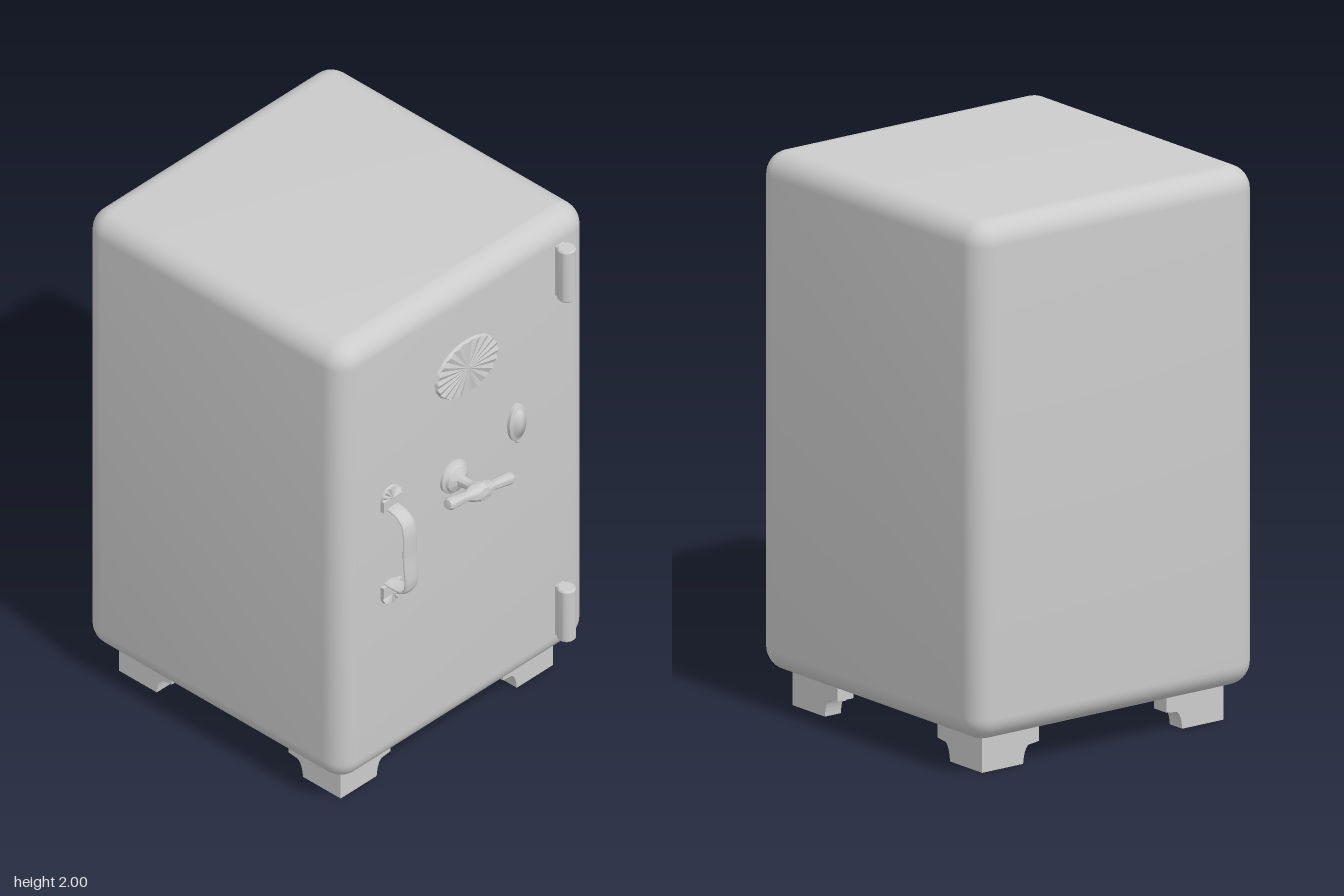
import * as THREE from 'three';
import { toCreasedNormals } from 'three/addons/utils/BufferGeometryUtils.js';

const grey = new THREE.MeshStandardMaterial({ color: 0xcccccc });
const FRONT = 0.54;            // plane of the door face
const W = 0.62, Y0 = 0.13, Y1 = 2, R = 0.085;

function add(parent, name, geometry, x = 0, y = 0, z = 0) {
  const mesh = new THREE.Mesh(geometry, grey);
  mesh.name = name;
  mesh.position.set(x, y, z);
  parent.add(mesh);
  return mesh;
}

function group(parent, name, x = 0, y = 0, z = 0) {
  const g = new THREE.Group();
  g.name = name;
  g.position.set(x, y, z);
  parent.add(g);
  return g;
}

// Rounded rectangle rings lofted along z; profile is a list of [inset, z]
function shell(profile) {
  const steps = 8, cy = (Y0 + Y1) / 2, pos = [], index = [];
  const n = 4 * (steps + 1);
  for (const [inset, z] of profile) {
    const r = Math.max(R - inset, 0.0005);
    for (let q = 0; q < 4; q++) {
      const sx = q === 0 || q === 3 ? 1 : -1, sy = q < 2 ? 1 : -1;
      for (let i = 0; i <= steps; i++) {
        const a = (q + i / steps) * Math.PI / 2;
        pos.push(sx * (W - R) + r * Math.cos(a), cy + sy * ((Y1 - Y0) / 2 - R) + r * Math.sin(a), z);
      }
    }
  }
  const last = profile.length - 1;
  for (let j = 0; j < last; j++) for (let i = 0; i < n; i++) {
    const k = (i + 1) % n, a = j * n, b = a + n;
    index.push(a + i, a + k, b + k, a + i, b + k, b + i);
  }
  // flat end caps
  const c = pos.length / 3;
  pos.push(0, cy, profile[0][1], 0, cy, profile[last][1]);
  for (let i = 0; i < n; i++) {
    const k = (i + 1) % n;
    index.push(c, k, i, c + 1, last * n + i, last * n + k);
  }
  const g = new THREE.BufferGeometry();
  g.setAttribute('position', new THREE.Float32BufferAttribute(pos, 3));
  g.setIndex(index);
  return toCreasedNormals(g, 0.6);
}

// Quarter-round edge running from the face at z0 to the side wall
function edge(z0, dir) {
  return Array.from({ length: 9 }, (_, i) => {
    const a = i / 8 * Math.PI / 2;
    return [R * (1 - Math.sin(a)), z0 + dir * R * (1 - Math.cos(a))];
  });
}

// Lathe turned so its axis points out of the door (+z)
function turned(points, segments = 32) {
  const g = new THREE.LatheGeometry(points.map(p => new THREE.Vector2(...p)), segments);
  return toCreasedNormals(g.rotateX(Math.PI / 2), 0.6);
}

// Shallow pleated disc or part disc, facing +z
function pleated(radius, depth, segments, start = 0, sweep = Math.PI * 2) {
  const g = new THREE.CylinderGeometry(radius * 0.96, radius, depth, segments, 1, false, start, sweep);
  g.rotateX(Math.PI / 2).translate(0, 0, depth / 2);
  const p = g.attributes.position;
  for (let i = 0; i < p.count; i++) {
    const x = p.getX(i), y = p.getY(i);
    if (p.getZ(i) < depth / 2 || Math.hypot(x, y) < radius / 2) continue;
    const k = Math.round((Math.atan2(x, -y) - start) / (sweep / segments));
    if (Math.abs(k) % 2) p.setZ(i, depth * 0.55);
  }
  return toCreasedNormals(g, 0.3);
}

// Bracket foot: two notched plates meeting at the outer corner
function footPlate() {
  const s = new THREE.Shape();
  s.moveTo(0, 0);
  s.lineTo(0.18, 0);
  s.quadraticCurveTo(0.185, 0.055, 0.205, 0.065);
  s.lineTo(0.25, 0.07);
  s.lineTo(0.25, 0.14);
  s.lineTo(0, 0.14);
  s.closePath();
  return new THREE.ExtrudeGeometry(s, { depth: 0.07, bevelEnabled: false, curveSegments: 6 });
}

export function createModel() {
  const safe = new THREE.Group();
  safe.name = 'safe';

  // Cabinet, narrow seam, and rounded door
  add(safe, 'cabinet', shell([...edge(-0.7, 1), [0, 0.455]]));
  add(safe, 'seam', shell([[0.006, 0.45], [0.006, 0.465]]));
  add(safe, 'door', shell([[0, 0.46], ...edge(FRONT, -1).reverse()]));

  // Feet
  const plate = footPlate();
  const mirrored = plate.clone().rotateY(Math.PI / 2).translate(0, 0, 0);
  for (const sx of [-1, 1]) for (const sz of [-1, 1]) {
    const foot = group(safe, 'foot', sx * 0.53, 0, -0.08 + sz * 0.53);
    // each plate runs inward from the corner along one axis
    const alongX = add(foot, 'footPlate', sx < 0 ? plate : plate.clone().rotateY(Math.PI).translate(0, 0, 0.07));
    alongX.position.z = sz > 0 ? -0.07 : 0;
    const alongZ = add(foot, 'footPlate', sz > 0 ? mirrored : mirrored.clone().rotateY(Math.PI).translate(0.07, 0, 0));
    alongZ.position.x = sx > 0 ? -0.07 : 0;
  }

  // Hinges: barrel with end caps and a leaf against the door
  for (const y of [0.33, 1.8]) {
    const hinge = group(safe, 'hinge', 0.467, y, FRONT);
    const barrel = new THREE.LatheGeometry(
      [[0, -0.11], [0.028, -0.11], [0.033, -0.104], [0.033, 0.104], [0.028, 0.11], [0, 0.11]]
        .map(p => new THREE.Vector2(...p)), 24);
    add(hinge, 'hingeBarrel', toCreasedNormals(barrel, 0.6), 0, 0, 0.036);
    add(hinge, 'hingeLeaf', new THREE.BoxGeometry(0.04, 0.21, 0.05), 0, 0, 0.01);
  }

  // Oval pleated rosette
  add(safe, 'rosette', pleated(0.155, 0.016, 40), 0, 1.63, FRONT - 0.001).scale.y = 0.74;

  // Turning lever: base, stem and crossbar
  const lever = group(safe, 'lever', -0.062, 1.19, FRONT);
  add(lever, 'leverStem', turned([
    [0.065, -0.005], [0.065, 0.01], [0.054, 0.016], [0.05, 0.026], [0.036, 0.033],
    [0.022, 0.04], [0.019, 0.07], [0.022, 0.095], [0.034, 0.115], [0.036, 0.135],
    [0.026, 0.154], [0, 0.16]]));
  const half = [[0.034, 0], [0.03, 0.035], [0.018, 0.065], [0.019, 0.09], [0.023, 0.15], [0.018, 0.162], [0, 0.164]];
  const bar = [...half.slice(1).reverse().map(([r, y]) => [r, -y]), ...half];
  const barGeometry = new THREE.LatheGeometry(bar.map(p => new THREE.Vector2(...p)), 20);
  add(lever, 'leverBar', toCreasedNormals(barGeometry, 0.7), 0, 0, 0.126).rotation.z = Math.PI / 2 - 0.17;

  // Oval keyhole cover with a small tip
  const keyhole = group(safe, 'keyholeCover', 0.25, 1.255, FRONT);
  add(keyhole, 'keyholePlate', turned([
    [1, -0.005], [1, 0.012], [0.86, 0.018], [0.74, 0.018], [0.66, 0.026], [0, 0.03]])).scale.set(0.042, 0.078, 1);
  add(keyhole, 'keyholeTip', new THREE.SphereGeometry(0.011, 12, 8), 0, -0.077, 0.006);

  // Pull handle: two fluted pads and a flattened grip
  const handle = group(safe, 'pullHandle', -0.377, 0, FRONT);
  for (const [y, turn] of [[0.86, 0], [1.275, Math.PI]]) {
    const pad = group(handle, 'handlePad', 0, y, 0);
    pad.rotation.z = turn;
    add(pad, 'padFan', pleated(0.048, 0.016, 14, -Math.PI / 2, Math.PI), 0, 0.002, -0.001);
    add(pad, 'padBlock', new THREE.BoxGeometry(0.094, 0.045, 0.016), 0, 0.022, 0.007);
  }
  const path = new THREE.CatmullRomCurve3([
    [0.905, 0], [0.905, 0.05], [0.915, 0.088], [0.95, 0.1], [1.06, 0.095],
    [1.17, 0.092], [1.205, 0.08], [1.228, 0.045], [1.235, 0]
  ].map(([y, z]) => new THREE.Vector3(0, y, z)));
  const grip = new THREE.TubeGeometry(path, 64, 0.009, 14);
  const p = grip.attributes.position;
  for (let i = 0; i < p.count; i++) {
    // slightly wider in the middle of the grip
    const t = Math.min(1, Math.abs(p.getY(i) - 1.07) / 0.16);
    p.setX(i, p.getX(i) * (3.9 - 0.6 * t * t));
  }
  grip.computeVertexNormals();
  add(handle, 'handleGrip', grip);

  return safe;
}
